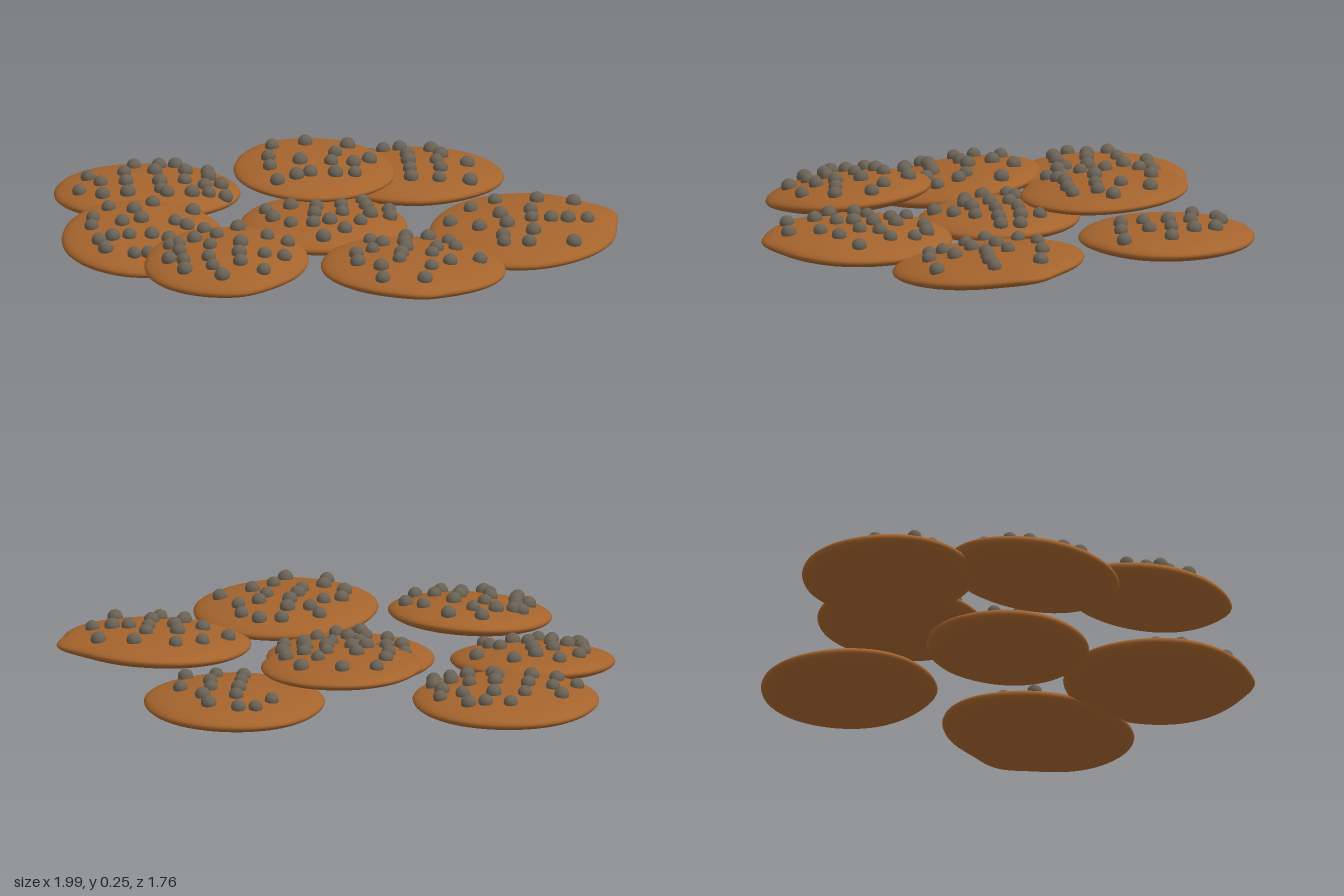
import * as THREE from 'three';
import { mergeVertices } from 'three/addons/utils/BufferGeometryUtils.js';

const dough = new THREE.MeshStandardMaterial({ color: 0xa5642d });
dough.name = 'baked dough';
const chocolate = new THREE.MeshStandardMaterial({ color: 0x6b6255 });
chocolate.name = 'dusty chocolate';

const chipGeometry = new THREE.SphereGeometry(0.027, 14, 10);

// Distance of the rim from the centre, as a share of the radius; tip = [angle, height, width]
function rimScale(angle, tip) {
  let scale = 1 + 0.008 * Math.sin(3 * angle + 1) + 0.006 * Math.sin(5 * angle);
  if (tip) {
    const d = Math.atan2(Math.sin(angle - tip[0]), Math.cos(angle - tip[0]));
    scale += tip[1] * Math.exp(-((d / tip[2]) ** 2));
  }
  return scale;
}

// A flattened, slightly tilted biscuit; chips are x, z pairs pressed into its top
function makeBiscuit(name, { at: [cx, cy, cz], r: [rx, rz], h = 0.052, slope: [sx, sz], tip }, chips) {
  const group = new THREE.Group();
  group.name = name;
  group.position.set(cx, cy, cz);

  // Lens-shaped body with an uneven rim
  let geo = new THREE.SphereGeometry(1, 72, 24);
  geo.deleteAttribute('normal');
  geo.deleteAttribute('uv');
  geo = mergeVertices(geo, 1e-4);
  const p = geo.attributes.position;
  for (let i = 0; i < p.count; i++) {
    const ux = p.getX(i), uz = p.getZ(i);
    const scale = 1 + (rimScale(Math.atan2(uz, ux), tip) - 1) * Math.hypot(ux, uz) ** 3;
    const x = ux * rx * scale, z = uz * rz * scale;
    p.setXYZ(i, x, p.getY(i) * h + sx * x + sz * z, z);
  }
  geo.computeVertexNormals();
  const body = new THREE.Mesh(geo, dough);
  body.name = name + 'Body';
  group.add(body);

  // Chips sit half sunk in the upper surface
  for (let i = 0; i < chips.length; i += 2) {
    const x = chips[i] - cx, z = chips[i + 1] - cz;
    const dome = Math.sqrt(Math.max(0, 1 - (x / rx) ** 2 - (z / rz) ** 2));
    const chip = new THREE.Mesh(chipGeometry, chocolate);
    chip.name = 'chip';
    chip.position.set(x, dome * h + sx * x + sz * z + 0.006, z);
    chip.scale.setScalar(0.94 + 0.05 * (i % 6) / 2);
    group.add(chip);
  }
  return group;
}

export function createModel() {
  const model = new THREE.Group();
  model.name = 'biscuitPile';
  model.add(
    makeBiscuit('backRightBiscuit', { at: [-0.665, 0.085, -0.44], r: [0.333, 0.31], slope: [0, 0] }, [
      -.70, -.61, -.61, -.61, -.55, -.62, -.44, -.55, -.52, -.53, -.63, -.52, -.74, -.51, -.87, -.49,
      -.44, -.48, -.83, -.41, -.74, -.40, -.62, -.39, -.53, -.41, -.46, -.37, -.40, -.40, -.91, -.35,
      -.83, -.29, -.74, -.29, -.62, -.31, -.60, -.28, -.51, -.29, -.45, -.30, -.39, -.30]),
    makeBiscuit('middleRightBiscuit', { at: [-0.705, 0.073, 0.075], r: [0.295, 0.307], slope: [0, -0.13] }, [
      -.82, -.10, -.66, -.13, -.52, -.07, -.89, .06, -.78, .05, -.71, .03, -.59, .05, -.55, .08,
      -.73, -.06, -.88, -.01, -.87, .18, -.82, .16, -.76, .16, -.68, .16, -.85, .24, -.75, .29,
      -.70, .29, -.62, .19, -.52, .16]),
    makeBiscuit('frontRightBiscuit', { at: [-0.435, 0.11, 0.485], r: [0.293, 0.293], slope: [0.04, -0.1], tip: [1.4, 0.04, 0.3] }, [
      -.63, .41, -.60, .41, -.54, .38, -.46, .36, -.50, .28, -.38, .28, -.28, .38, -.21, .43,
      -.38, .45, -.49, .46, -.60, .48, -.64, .53, -.59, .56, -.50, .56, -.39, .54, -.30, .55,
      -.23, .56, -.59, .63, -.49, .63, -.39, .61, -.46, .70, -.31, .67]),
    makeBiscuit('frontBiscuit', { at: [0.23, 0.09, 0.525], r: [0.33, 0.335], slope: [-0.03, 0], tip: [1.5, 0.05, 0.22] }, [
      .09, .34, .22, .29, .30, .29, .37, .34, .13, .40, .21, .39, .39, .43, .32, .46,
      .21, .47, .09, .48, .03, .52, .19, .54, .30, .53, .47, .55, .03, .61, .18, .60,
      .36, .61, .11, .67, .29, .67, .11, .77, .26, .78]),
    makeBiscuit('leftBiscuit', { at: [0.645, 0.085, 0.105], r: [0.335, 0.343], slope: [0.02, -0.08], tip: [-0.4, 0.12, 0.25] }, [
      .56, -.08, .71, -.08, .84, -.06, .47, -.02, .39, .09, .57, .07, .68, .04, .49, .17,
      .59, .16, .68, .12, .75, .12, .81, .12, .88, .11, .57, .26, .68, .23, .57, .31,
      .66, .32, .82, .31]),
    makeBiscuit('centreBiscuit', { at: [-0.06, 0.085, -0.01], r: [0.3, 0.29], slope: [0, -0.03] }, [
      .09, -.14, .18, -.06, .10, -.07, .01, -.07, -.08, -.05, -.17, -.08, -.26, -.06, .18, .01,
      .11, .01, .01, .01, -.09, .02, -.24, .03, -.18, .10, -.10, .11, -.04, .09, .07, .09,
      .01, .16, -.07, .22]),
    makeBiscuit('topBiscuit', { at: [-0.07, 0.174, -0.39], r: [0.288, 0.3], h: 0.044, slope: [-0.02, -0.06] }, [
      -.21, -.53, -.09, -.56, .06, -.54, .01, -.44, -.23, -.41, -.12, -.36, -.01, -.35, .07, -.35,
      .13, -.40, -.23, -.32, -.09, -.25, 0, -.25, .07, -.26, -.21, -.20, -.14, -.23]),
    makeBiscuit('backLeftBiscuit', { at: [0.295, 0.087, -0.575], r: [0.323, 0.313], slope: [0, 0], tip: [1.45, 0.02, 0.3] }, [
      .20, -.76, .26, -.77, .37, -.74, .15, -.68, .28, -.66, .40, -.66, .38, -.58, .49, -.57,
      .28, -.58, .28, -.49, .39, -.50, .49, -.40, .38, -.40, .28, -.41])
  );
  return model;
}
